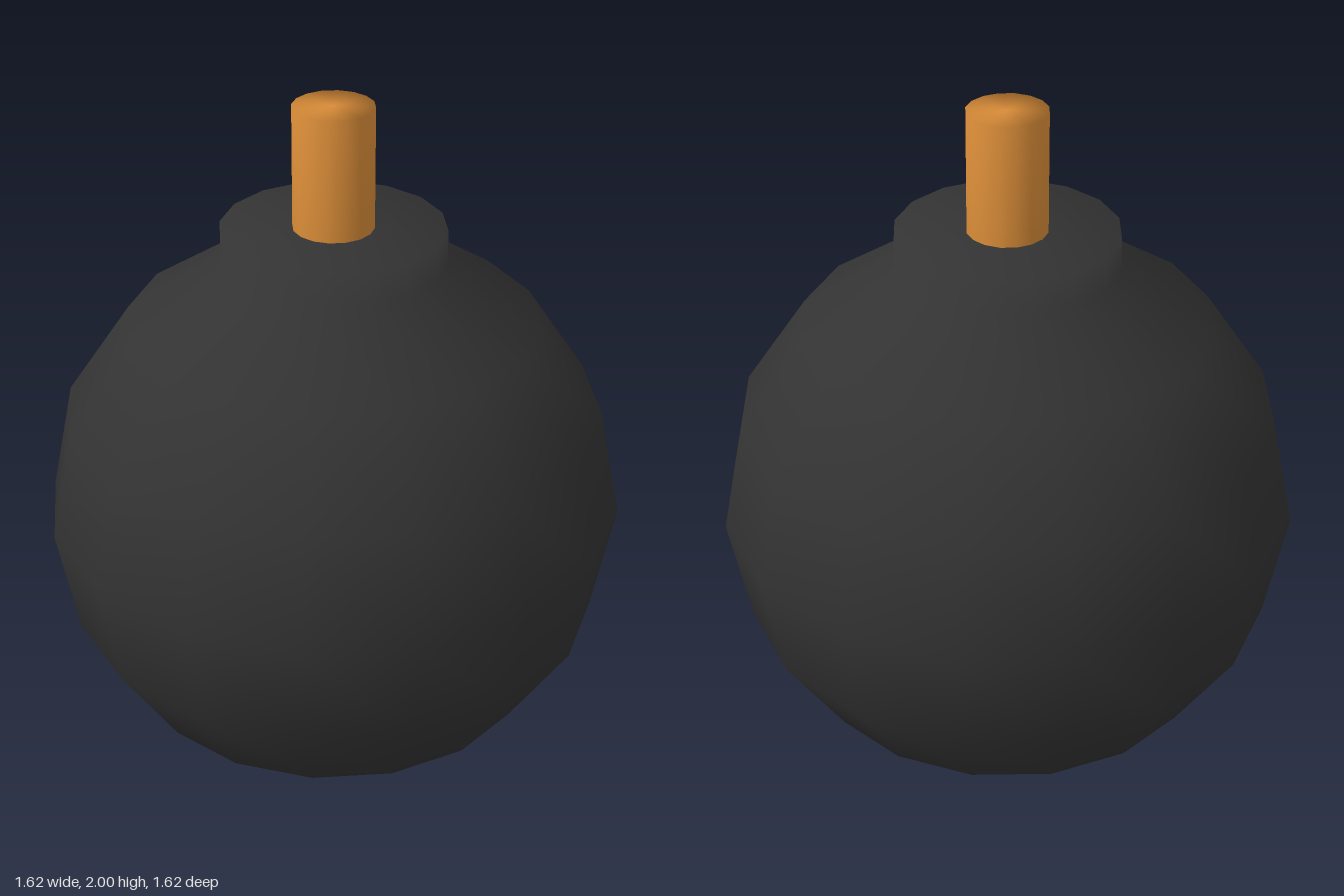
import * as THREE from 'three';
import { mergeVertices } from 'three/addons/utils/BufferGeometryUtils.js';

const SIDES = 16;
const RADIUS = 0.81;

// Turned part with smooth normals shared across every edge, caps included
function turned(name, profile, color) {
  const points = profile.map(([r, y]) => new THREE.Vector2(r, y));
  const lathe = new THREE.LatheGeometry(points, SIDES);
  lathe.deleteAttribute('uv');
  lathe.deleteAttribute('normal');
  const geometry = mergeVertices(lathe);
  geometry.computeVertexNormals();
  const mesh = new THREE.Mesh(geometry, new THREE.MeshStandardMaterial({ color }));
  mesh.name = name;
  return mesh;
}

export function createModel() {
  const group = new THREE.Group();
  group.name = 'bomb';

  // Round body: sphere rings from the bottom pole up to the neck
  const profile = [[0, 0]];
  for (let i = 1; i < 8; i++) {
    const a = (i / 8) * Math.PI;
    profile.push([RADIUS * Math.sin(a), RADIUS * (1 - Math.cos(a))]);
  }
  // Collar rising straight from the last ring, closed by a flat cap
  const neck = RADIUS * Math.sin(Math.PI / 8);
  profile.push([neck, 1.655], [0, 1.655]);
  group.add(turned('bodyWithCollar', profile, 0x333333));

  // Fuse stub
  group.add(turned('fuse', [[0.112, 1.65], [0.112, 2], [0, 2]], 0xd98c38));

  return group;
}
